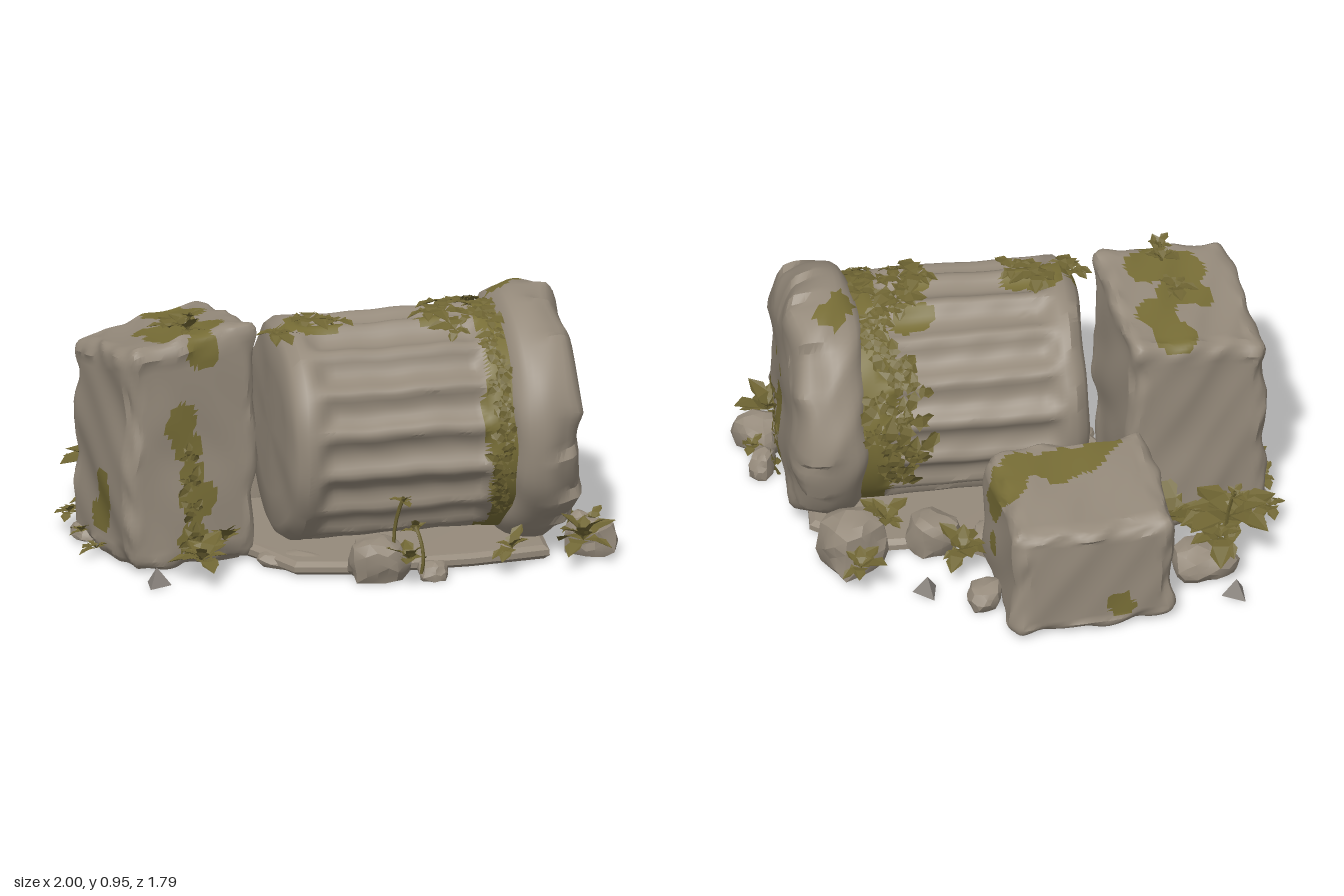
import * as THREE from 'three';
import { mergeGeometries, toCreasedNormals } from 'three/addons/utils/BufferGeometryUtils.js';

const mat = (name, color, extra = {}) => Object.assign(new THREE.MeshStandardMaterial({ color, ...extra }), { name });
const V = (x, y, z) => new THREE.Vector3(x, y, z);

function seeded(seed) {
  let s = seed * 7919 + 17;
  return () => { s = (s * 16807) % 2147483647; return s / 2147483647; };
}

// smooth wobble used to weather every stone
const wave = (p, s) => (Math.sin(p.x * 9 + s + 2 * Math.sin(p.y * 7 + s)) + Math.sin(p.y * 11 + s * 2.3 + 2 * Math.sin(p.z * 8))
  + Math.sin(p.z * 10 + s * 1.7 + 2 * Math.sin(p.x * 6)) + 0.7 * Math.sin(p.x * 27 + p.y * 23 - p.z * 25 + s)) / 3.7;

function move(geo, rule) {
  const a = geo.attributes.position, p = new THREE.Vector3();
  for (let i = 0; i < a.count; i++) {
    rule(p.fromBufferAttribute(a, i));
    a.setXYZ(i, p.x, p.y, p.z);
  }
  return geo;
}
const weather = (geo, amount, s) => move(geo, p => {
  const a = wave(p, s), b = wave(p, s + 4), c = wave(p, s + 9);
  p.add(V(a, b, c).multiplyScalar(amount));
  p.y = Math.max(0, p.y);
});

// fallen column frame: angle from the top, radius, distance along the axis
const TURN = -0.53, CENTRE = V(0.117, 0.46, 0.068);
const onColumn = (angle, r, w) => V(r * Math.sin(angle), r * Math.cos(angle), -w).applyAxisAngle(V(0, 1, 0), TURN).add(CENTRE);
const along = p => (p.x - CENTRE.x) * 0.505 - (p.z - CENTRE.z) * 0.863;
const layDown = geo => geo.rotateX(-Math.PI / 2).rotateY(TURN).translate(CENTRE.x, CENTRE.y, CENTRE.z);
const lathe = (profile, sides) => new THREE.LatheGeometry(profile.map(p => new THREE.Vector2(...p)), sides);

export function createModel() {
  const root = new THREE.Group();
  root.name = 'fallenColumnRuin';
  const stone = mat('stone', 0x958a7b), rubble = mat('rubble stone', 0x8c8680);
  const moss = mat('moss', 0x776d36);
  const leaf = mat('leaf', 0x6f6533, { side: THREE.DoubleSide, flatShading: true });

  const add = (name, geo, material) => {
    const m = new THREE.Mesh(geo, material);
    m.name = name;
    root.add(m);
  };

  // stone mesh whose faces inside the blobs (x, y, z, radius) become moss
  function mossyStone(name, geo, blobs, rule = () => false) {
    const g = toCreasedNormals(geo, 0.6), a = g.attributes.position;
    const lists = [[], []], p = V(0, 0, 0), q = V(0, 0, 0);
    for (let i = 0; i < a.count; i += 3) {
      p.set(0, 0, 0);
      for (let k = 0; k < 3; k++) p.addScaledVector(q.fromBufferAttribute(a, i + k), 1 / 3);
      const f = 1 + 0.3 * wave(q.copy(p).multiplyScalar(3), 2);
      const hit = rule(p) || blobs.some(b => Math.hypot(p.x - b[0], p.y - b[1], p.z - b[2]) < b[3] * f);
      lists[hit ? 1 : 0].push(i, i + 1, i + 2);
    }
    g.setIndex([...lists[0], ...lists[1]]);
    g.clearGroups();
    g.addGroup(0, lists[0].length, 0);
    g.addGroup(lists[0].length, lists[1].length, 1);
    add(name, g, [stone, moss]);
  }

  // block with worn edges and a sloping top
  function block(w, h, d, slopeX, slopeZ, turn, x, z, seed) {
    const half = V(w / 2 - 0.05, h / 2 - 0.05, d / 2 - 0.05), low = half.clone().negate(), inner = V(0, 0, 0);
    const geo = move(new THREE.BoxGeometry(w, h, d, 30, 36, 30), p => {
      inner.copy(p).clamp(low, half);
      const wear = wave(p.clone().multiplyScalar(1.6), seed + 2);
      p.sub(inner);
      const onEdge = Math.abs(p.x) + Math.abs(p.y) + Math.abs(p.z) > 0.051;
      p.setLength(onEdge ? 0.048 + 0.018 * wear : 0.05).add(inner);
      p.y = (p.y + h / 2) * (1 + slopeX * p.x + slopeZ * p.z);
    });
    return weather(geo.rotateY(turn).translate(x, 0, z), 0.018, seed);
  }
  mossyStone('tallBlock', block(0.55, 0.83, 0.51, 0.17, -0.2, -0.38, -0.275, 0.49, 1), [
    [-0.43, 0.8, 0.34, 0.08], [-0.33, 0.84, 0.36, 0.08], [-0.25, 0.84, 0.48, 0.08], [-0.12, 0.86, 0.5, 0.1], [-0.3, 0.8, 0.55, 0.06],
    [-0.17, 0.82, 0.6, 0.08], [-0.03, 0.82, 0.54, 0.07], [-0.02, 0.56, 0.64, 0.06], [-0.01, 0.46, 0.62, 0.06],
    [0, 0.36, 0.6, 0.05], [0, 0.26, 0.58, 0.07], [0, 0.12, 0.6, 0.06], [-0.34, 0.25, 0.73, 0.08], [-0.38, 0.14, 0.72, 0.07]]);
  mossyStone('lowBlock', block(0.54, 0.46, 0.6, 0.12, 0, -0.42, -0.56, -0.2, 3), [
    [-0.38, 0.48, -0.42, 0.1], [-0.36, 0.48, -0.31, 0.08], [-0.44, 0.47, -0.19, 0.1], [-0.47, 0.46, -0.1, 0.07],
    [-0.4, 0.46, 0.02, 0.08], [-0.34, 0.36, -0.45, 0.08], [-0.36, 0.2, -0.47, 0.05], [-0.8, 0.1, -0.2, 0.07]]);

  // fluted drum with soft wide flutes
  const drumProfile = [[0, -0.2], [0.12, -0.2], [0.24, -0.2], [0.355, -0.2], [0.385, -0.185], [0.408, -0.15]];
  for (let w = -0.12; w < 0.65; w += 0.025) drumProfile.push([0.408, w]);
  drumProfile.push([0.2, 0.66]);
  const drum = move(lathe(drumProfile, 160), p => {
    if (Math.hypot(p.x, p.z) < 0.4) return;
    const turns = Math.atan2(p.x, p.z) / (2 * Math.PI) * 16 + 16.5;
    const t = turns - Math.floor(turns) - 0.5;
    const ends = THREE.MathUtils.smoothstep(p.y, -0.12, -0.05) * (1 - THREE.MathUtils.smoothstep(p.y, 0.5, 0.56));
    const k = 1 - 0.085 * ends * Math.max(0, 1 - (t / 0.42) ** 2);
    p.x *= k;
    p.z *= k;
  });
  mossyStone('flutedDrum', weather(layDown(drum), 0.008, 5),
    [[0.1, 0.86, 0.16, 0.08], [0.16, 0.86, 0.08, 0.06], [0.36, 0.86, -0.22, 0.05], [0.05, 0.84, 0.27, 0.06], [0.2, 0.86, -0.36, 0.08]],
    p => along(p) > 0.52 + 0.05 * wave(p, 6));

  // broken end piece with a chipped rim
  const endProfile = [[0.36, 0.6], [0.41, 0.615], [0.435, 0.635]];
  for (let i = 0; i <= 8; i++) endProfile.push([0.45 + 0.015 * Math.sin(i / 8 * Math.PI), 0.66 + 0.0235 * i]);
  endProfile.push([0.43, 0.865]);
  for (let r = 0.39; r > -0.01; r -= 0.03) endProfile.push([Math.max(0, r), 0.875]);
  const end = move(lathe(endProfile, 96), p => {
    const r = Math.hypot(p.x, p.z), a = Math.atan2(p.x, p.z);
    const saw = ((a + Math.PI) * 11 / (2 * Math.PI) + 0.4 * Math.sin(3 * a)) % 1;
    const back = THREE.MathUtils.smoothstep(p.y, 0.68, 0.86);
    if (r > 0.3) {
      const k = 1 - back * (0.07 * Math.abs(saw) + 0.02 * Math.sin(5 * a));
      p.x *= k;
      p.z *= k;
      p.y -= back * 0.035 * Math.abs(Math.sin(a * 4 + 1)) * (r - 0.3) / 0.15;
    }
  });
  mossyStone('brokenEnd', weather(layDown(end), 0.018, 8),
    [...[0.38, 0.31, 0.25, 0.18, 0.12].map((y, i) => [0.63 + 0.02 * (i % 2), y, -0.62, 0.055]), [0.69, 0.52, -0.6, 0.02], [0.56, 0.54, -0.68, 0.025],
      [0.33, 0.92, -0.64, 0.06], [0.36, 0.91, -0.56, 0.05]]);

  // footing of flat stones under the pile
  const outline = [[-0.35, 0.35], [0.08, 0.36], [0.3, 0.38], [0.42, 0.24], [0.66, -0.15], [0.78, -0.4], [0.3, -0.74], [0.08, -0.66], [-0.08, -0.4], [-0.35, -0.3]];
  const footing = new THREE.ExtrudeGeometry(new THREE.Shape(outline.map(([x, z]) => new THREE.Vector2(x, -z))),
    { depth: 0.02, bevelThickness: 0.015, bevelSize: 0.02, bevelSegments: 1 });
  add('footing', toCreasedNormals(weather(footing.rotateX(-Math.PI / 2).translate(0, 0.015, 0), 0.008, 2), 0.5), stone);

  // loose rocks: x, z, width, height, depth radii
  [[0.07, -0.75, 0.12, 0.21, 0.13], [-0.04, -0.46, 0.1, 0.15, 0.1], [-0.43, -0.53, 0.07, 0.1, 0.06], [0.52, 0.19, 0.12, 0.15, 0.1],
    [0.7, -0.67, 0.06, 0.1, 0.05], [0.83, -0.57, 0.1, 0.13, 0.08], [-0.76, 0.22, 0.12, 0.11, 0.1], [-0.55, 0.6, 0.08, 0.06, 0.08],
    [0.66, 0.04, 0.06, 0.07, 0.06], [-0.17, -0.3, 0.08, 0.09, 0.07], [0.22, 0.32, 0.13, 0.06, 0.06]].forEach(([x, z, w, h, d], i) => {
    const geo = move(new THREE.IcosahedronGeometry(1, 2), p => {
      const m = Math.max(Math.abs(p.x), Math.abs(p.y), Math.abs(p.z));
      p.multiplyScalar(0.7 + 0.25 / m + 0.2 * wave(p.clone().multiplyScalar(0.3), i * 3));
      p.set(p.x * w, (p.y * 0.62 + 0.4) * h, p.z * d);
    }).rotateY(i * 1.3).translate(x, 0, z);
    add('rock', toCreasedNormals(weather(geo, 0.012, i), 0.4), stone);
  });
  // sharp chips
  [[-0.95, 0.22], [0.04, 0.83], [-0.25, -0.65]].forEach(([x, z], i) => {
    const chip = new THREE.ConeGeometry(0.055, 0.07, 3).toNonIndexed().rotateY(i * 2 + 0.5).translate(x, 0.036, z);
    chip.computeVertexNormals();
    add('stoneChip', chip, rubble);
  });

  // lobed leaf, folded along its rib and drooping at the tip
  const side = [[0.16, 0.22], [0.38, 0.36], [0.22, 0.5], [0.28, 0.76]];
  const leafPoints = [[0, 0], ...side, [0, 1], ...side.map(([x, y]) => [-x, y]).reverse()];
  const leafGeo = new THREE.ShapeGeometry(new THREE.Shape(leafPoints.map(p => new THREE.Vector2(...p))));
  move(leafGeo, p => { p.z = 0.35 * Math.abs(p.x) - 0.45 * p.y * p.y; });
  leafGeo.rotateX(-Math.PI / 2).scale(1, 1, -1);

  function tuft(at, normal, size, count, lift, seed) {
    const rnd = seeded(seed), turn = new THREE.Quaternion().setFromUnitVectors(V(0, 1, 0), normal.clone().normalize());
    const parts = [];
    for (let i = 0; i < count; i++) {
      const s = size * (0.6 + 0.6 * rnd());
      parts.push(leafGeo.clone().scale(s, s, s).rotateX(-lift * (0.1 + 1.4 * rnd()))
        .rotateY((i + 0.8 * rnd()) * 2 * Math.PI / count).applyQuaternion(turn).translate(at.x, at.y, at.z));
    }
    return move(mergeGeometries(parts), p => { p.y = Math.max(0.004, p.y); });
  }
  const plant = (name, x, y, z, size, count, lift, seed) => add(name, tuft(V(x, y, z), V(0, 1, 0), size, count, lift, seed), leaf);

  // plants on the ground and stone tops: x, y, z, leaf size, leaf count, lift
  [[-0.74, 0.17, 0.36, 0.17, 12, 0.7], [-0.82, 0.17, 0.25, 0.12, 7, 0.7], [-0.67, 0.08, 0.45, 0.12, 7, 0.9], [-0.55, 0.11, 0.22, 0.13, 8, 0.9],
    [0.1, 0.07, 0.66, 0.12, 12, 0.9], [-0.66, 0.06, 0.6, 0.08, 6, 0.8], [-0.49, 0.05, 0.7, 0.07, 5, 0.8], [0.64, 0.08, 0.14, 0.1, 7, 0.9],
    [0.9, 0.08, -0.48, 0.12, 9, 0.9], [-0.09, 0.1, -0.83, 0.1, 7, 0.8], [-0.21, 0.08, -0.46, 0.11, 8, 0.9], [0.79, 0.08, -0.23, 0.08, 7, 0.9],
    [0.02, 0.16, -0.63, 0.1, 7, 0.8], [-0.2, 0.05, -0.2, 0.1, 7, 0.9], [-0.46, 0.08, 0.16, 0.09, 6, 0.9], [-0.36, 0.03, 0.75, 0.06, 5, 0.7],
    [-0.1, 0.87, 0.54, 0.09, 7, 1], [-0.24, 0.84, 0.5, 0.08, 5, 0.5], [0.36, 0.88, -0.22, 0.1, 6, 0.3], [0.1, 0.87, 0.13, 0.1, 6, 0.3],
    [0.19, 0.87, 0.08, 0.07, 5, 0.4], [0.08, 0.84, 0.27, 0.09, 6, 0.3], [0.05, 0.1, 0.5, 0.09, 8, 1], [0.76, 0.08, -0.66, 0.06, 5, 0.8]]
    .forEach((a, i) => plant('leafTuft', ...a, i + 1));

  // ivy around the joint, thick over the top and left, sparse on the right
  const ivy = [], rnd = seeded(42);
  for (let i = 0; i < 36; i++) {
    const thick = i < 25, angle = thick ? -1.9 + 2.3 * i / 24 : 0.5 + 1.7 * (i - 25) / 10;
    const at = onColumn(angle, 0.412, 0.61 - (thick ? 0.2 : 0.06) * rnd());
    ivy.push(tuft(at, onColumn(angle, 1, 0).sub(CENTRE), thick ? 0.085 : 0.065, 4, 0.25, i + 60));
  }
  // ivy climbing the tall block and the broken end
  [0.12, 0.24, 0.34, 0.44].forEach((y, i) => {
    ivy.push(tuft(V(0.005, y, 0.61 + 0.01 * i), V(0.93, 0, 0.37), 0.055, 4, 0.4, i + 110));
    ivy.push(tuft(V(0.64, y - 0.04, -0.65), V(0.5, 0, -0.86), 0.06, 3, 0.4, i + 120));
  });
  add('climbingIvy', mergeGeometries(ivy), leaf);

  // tall sprouts
  [[-0.8, 0.3, 0.36, -0.04], [0.58, 0.15, 0.32, 0.04], [0.66, 0.1, 0.2, -0.03], [-0.1, 0.54, 0.94, 0.01]].forEach(([x, z, top, lean], i) => {
    const foot = top > 0.8 ? 0.84 : 0.03;
    const curve = new THREE.QuadraticBezierCurve3(V(x, foot, z), V(x - lean, (top + foot) / 2, z), V(x + lean, top, z));
    add('sproutStem', new THREE.TubeGeometry(curve, 6, 0.007, 5), leaf);
    plant('sproutLeaves', x + lean, top - 0.02, z, 0.055, 4, 1.2, 90 + i);
  });
  return root;
}
